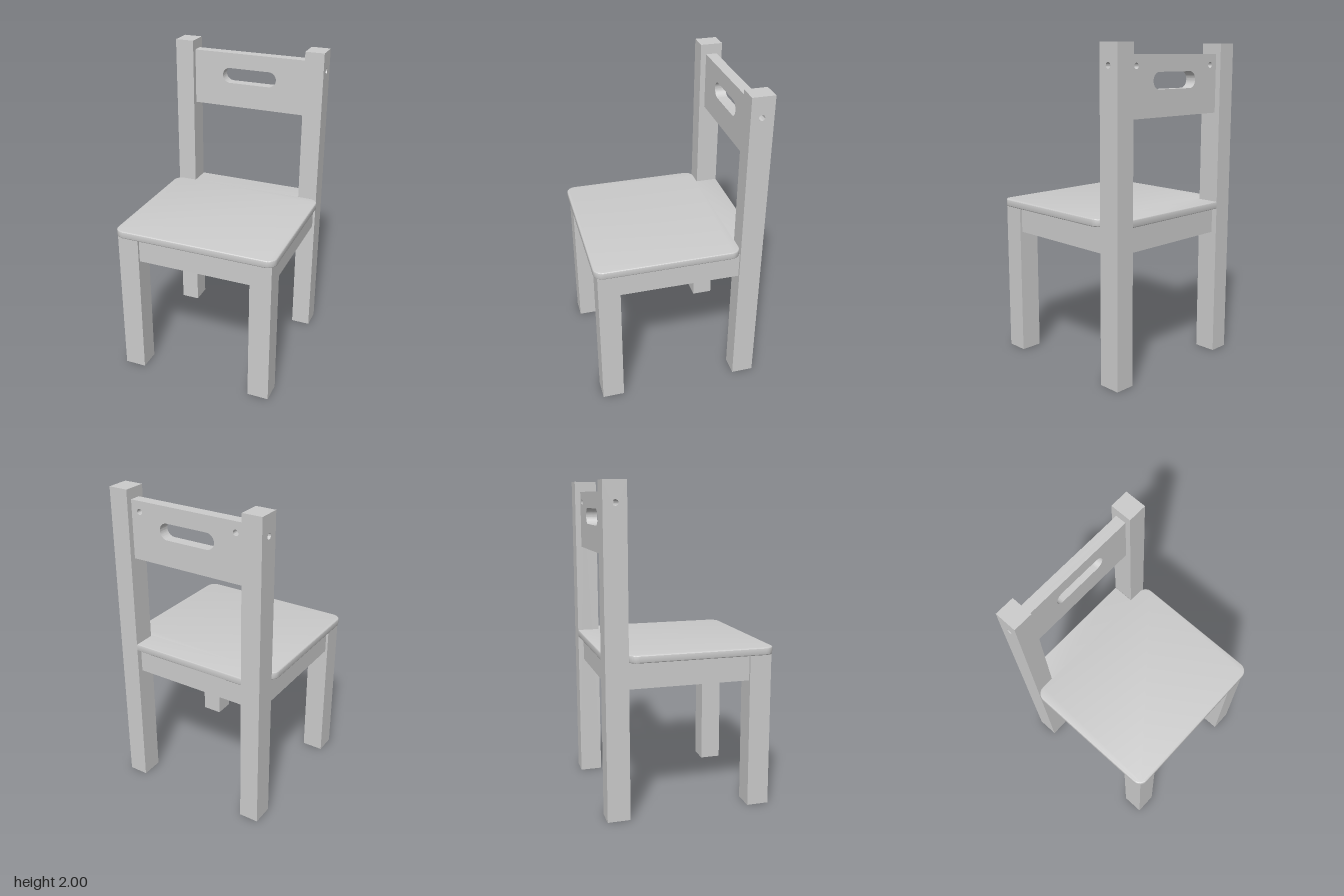
import * as THREE from 'three';
import { toCreasedNormals } from 'three/addons/utils/BufferGeometryUtils.js';

const material = new THREE.MeshStandardMaterial({ color: 0xcccccc });

function add(parent, name, geometry) {
  const mesh = new THREE.Mesh(geometry, material);
  mesh.name = name;
  parent.add(mesh);
  return mesh;
}

// Box given by its minimum and maximum on each axis
function box(x0, x1, y0, y1, z0, z1) {
  return new THREE.BoxGeometry(x1 - x0, y1 - y0, z1 - z0)
    .translate((x0 + x1) / 2, (y0 + y1) / 2, (z0 + z1) / 2);
}

function rectangle(x0, x1, y0, y1) {
  return new THREE.Shape([
    new THREE.Vector2(x0, y0), new THREE.Vector2(x1, y0),
    new THREE.Vector2(x1, y1), new THREE.Vector2(x0, y1),
  ]);
}

function roundHole(x, y, r) {
  return new THREE.Path().absarc(x, y, r, 0, Math.PI * 2, true);
}

function extrude(shape, depth) {
  const geometry = new THREE.ExtrudeGeometry(shape, { depth, bevelEnabled: false, curveSegments: 16 });
  return toCreasedNormals(geometry, 0.6);
}

// Rounded seat board with a tongue reaching back between the posts
function seatGeometry() {
  const w = 0.525, front = 0.525, notch = -0.385, back = -0.525, t = 0.383, r = 0.06;
  const b = 0.006, thickness = 0.047, top = 1.01;
  const s = new THREE.Shape();
  s.moveTo(-t, back);
  s.lineTo(t, back);
  s.lineTo(t, notch);
  s.lineTo(w - r, notch);
  s.absarc(w - r, notch + r, r, -Math.PI / 2, 0, false);
  s.absarc(w - r, front - r, r, 0, Math.PI / 2, false);
  s.absarc(-w + r, front - r, r, Math.PI / 2, Math.PI, false);
  s.absarc(-w + r, notch + r, r, Math.PI, Math.PI * 1.5, false);
  s.lineTo(-t, notch);
  const geometry = new THREE.ExtrudeGeometry(s, {
    depth: thickness - 2 * b, bevelSize: b, bevelThickness: b, bevelOffset: -b,
    bevelSegments: 3, curveSegments: 10,
  });
  geometry.rotateX(Math.PI / 2).translate(0, top - b, 0);
  return toCreasedNormals(geometry, 0.7);
}

// Back board layer: stadium-shaped hand slot, optional bolt holes
function backLayer(z0, z1, withBoltHoles) {
  const s = rectangle(-0.383, 0.383, 1.575, 1.935);
  const slot = new THREE.Path();
  slot.absarc(0.135, 1.785, 0.05, Math.PI / 2, -Math.PI / 2, true);
  slot.absarc(-0.135, 1.785, 0.05, -Math.PI / 2, -Math.PI * 1.5, true);
  slot.closePath();
  s.holes.push(slot);
  if (withBoltHoles) {
    for (const x of [-0.325, 0.325]) s.holes.push(roundHole(x, 1.87, 0.018));
  }
  return extrude(s, z1 - z0).translate(0, 0, z0);
}

export function createModel() {
  const chair = new THREE.Group();
  chair.name = 'chair';

  add(chair, 'seat', seatGeometry());

  // Back posts with a bolt hole through the side, front legs and side aprons
  for (const side of [1, -1]) {
    const label = side > 0 ? 'left' : 'right';
    const profile = rectangle(-0.525, -0.385, 0, 2);
    profile.holes.push(roundHole(-0.452, 1.875, 0.018));
    const post = extrude(profile, 0.124).rotateY(-Math.PI / 2);
    post.translate(side > 0 ? 0.507 : -0.383, 0, 0);
    add(chair, label + 'BackPost', post);

    const leg = box(-0.0685, 0.0685, 0, 0.963, 0.37, 0.507);
    add(chair, label + 'FrontLeg', leg.translate(side * 0.4385, 0, 0));

    const apron = box(-0.035, 0.035, 0.805, 0.963, -0.385, 0.37);
    add(chair, label + 'SideApron', apron.translate(side * 0.457, 0, 0));
  }

  // Front and rear aprons
  add(chair, 'frontApron', box(-0.37, 0.37, 0.805, 0.963, 0.422, 0.492));
  add(chair, 'rearApron', box(-0.383, 0.383, 0.805, 0.963, -0.49, -0.42));

  // Back board: blind bolt holes open only to the rear
  const backrest = new THREE.Group();
  backrest.name = 'backrest';
  add(backrest, 'backrestFront', backLayer(-0.45, -0.42, false));
  add(backrest, 'backrestRear', backLayer(-0.49, -0.45, true));
  chair.add(backrest);

  return chair;
}
